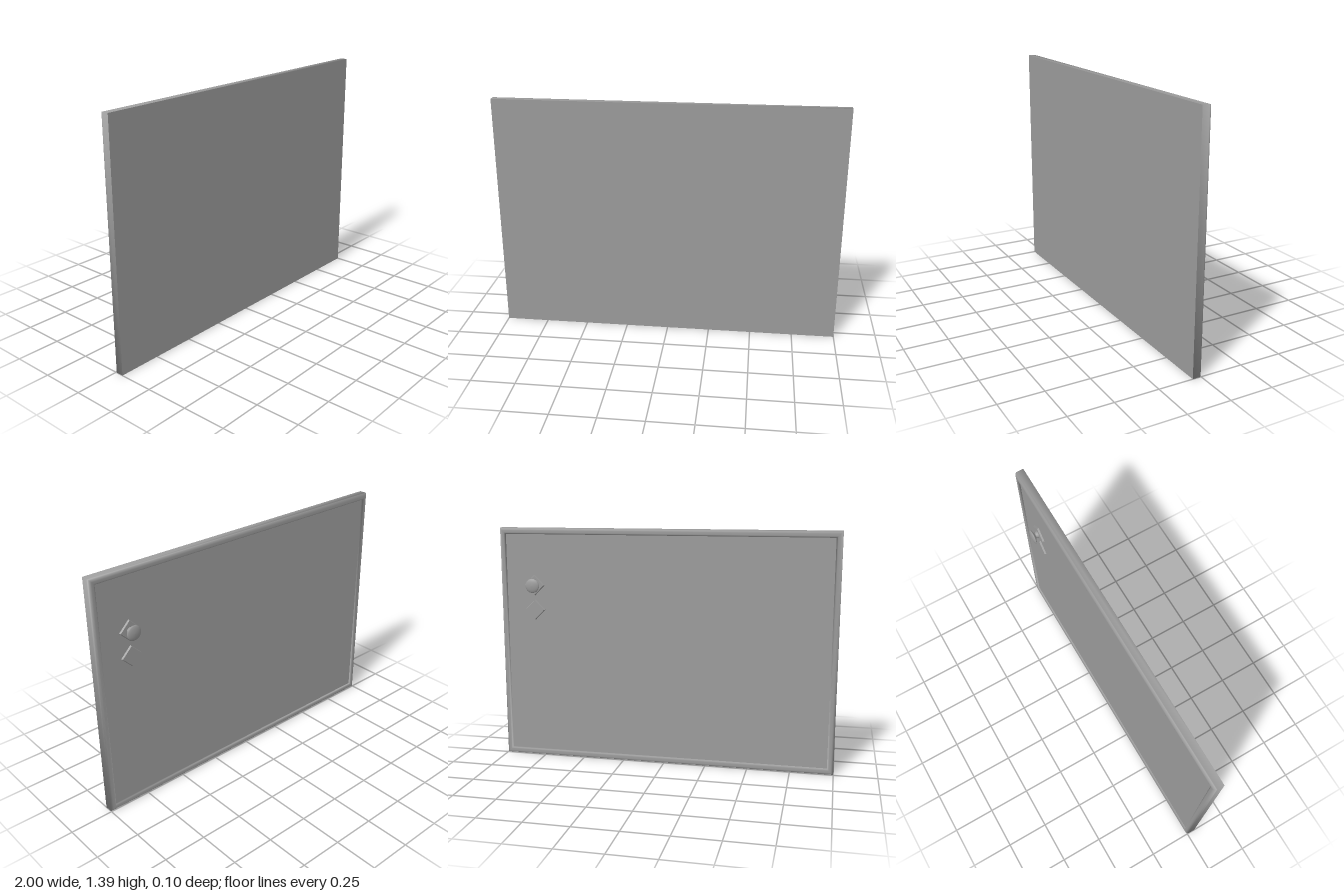
import * as THREE from 'three';

const W = 1, H = 1.395, FRONT = 0.05, BACK = -0.005;
const RIM = 0.037, PANEL = 0.005;
const KNOB_X = 0.79, KNOB_Y = 1.056;

const material = new THREE.MeshStandardMaterial({ color: 0x9c9c9c, side: THREE.DoubleSide });

function add(group, name, geometry, x = 0, y = 0, z = 0) {
  const mesh = new THREE.Mesh(geometry, material);
  mesh.name = name;
  mesh.position.set(x, y, z);
  group.add(mesh);
  return mesh;
}

// Rectangular rings joined front to back; profile points are [inset from the edge, z].
// Corners are shared, so the shading runs softly around them.
function frameGeometry(profile) {
  const positions = [], indices = [];
  profile.forEach(([inset, z], i) => {
    const x = W - inset, y = H / 2 - inset;
    positions.push(-x, -y, z, x, -y, z, x, y, z, -x, y, z);
    if (i === 0) return;
    for (let k = 0; k < 4; k++) {
      const a = 4 * (i - 1) + k, b = 4 * (i - 1) + (k + 1) % 4;
      indices.push(a, a + 4, b, b, a + 4, b + 4);
    }
  });
  const geometry = new THREE.BufferGeometry();
  geometry.setAttribute('position', new THREE.Float32BufferAttribute(positions, 3));
  geometry.setIndex(indices);
  geometry.computeVertexNormals();
  return geometry;
}

export function createModel() {
  const model = new THREE.Group();
  model.name = 'cabinetDoor';

  // Flat front face
  add(model, 'frontFace', new THREE.PlaneGeometry(2 * W, H), 0, H / 2, FRONT);

  // Frame with rounded outer shoulder and bevelled inner lip
  const r = 0.016;
  const profile = [[0, FRONT]];
  for (let i = 0; i <= 6; i++) {
    const a = (i / 6) * Math.PI / 2;
    profile.push([r * (1 - Math.cos(a)), BACK + r * (1 - Math.sin(a))]);
  }
  profile.push([0.026, BACK], [0.031, BACK + 0.001], [0.034, BACK + 0.004], [RIM, PANEL]);
  add(model, 'frame', frameGeometry(profile), 0, H / 2, 0);

  // Recessed back panel
  const depth = FRONT - 0.002 - PANEL;
  add(model, 'backPanel', new THREE.BoxGeometry(2 * (W - RIM), H - 2 * RIM, depth),
    0, H / 2, PANEL + depth / 2);

  // Two raised diamond plates with slightly sloping edges, one under the knob
  const plate = new THREE.CylinderGeometry(0.057, 0.062, 0.01, 4).toNonIndexed();
  plate.computeVertexNormals();
  for (const y of [KNOB_Y, KNOB_Y - 0.147]) {
    add(model, 'diamondPlate', plate, KNOB_X, y, PANEL - 0.005).rotation.x = -Math.PI / 2;
  }

  // Turned knob: flared foot, narrow neck, domed head
  const knobProfile = [
    [0.021, 0], [0.021, 0.015], [0.018, 0.02], [0.016, 0.026], [0.018, 0.03], [0.026, 0.034],
    [0.036, 0.037], [0.042, 0.041], [0.042, 0.044], [0.036, 0.048], [0.025, 0.051], [0.012, 0.053], [0, 0.0535],
  ].map(([px, py]) => new THREE.Vector2(px, py));
  const knob = add(model, 'knob', new THREE.LatheGeometry(knobProfile, 32), KNOB_X, KNOB_Y, PANEL);
  knob.rotation.x = -Math.PI / 2;

  return model;
}
